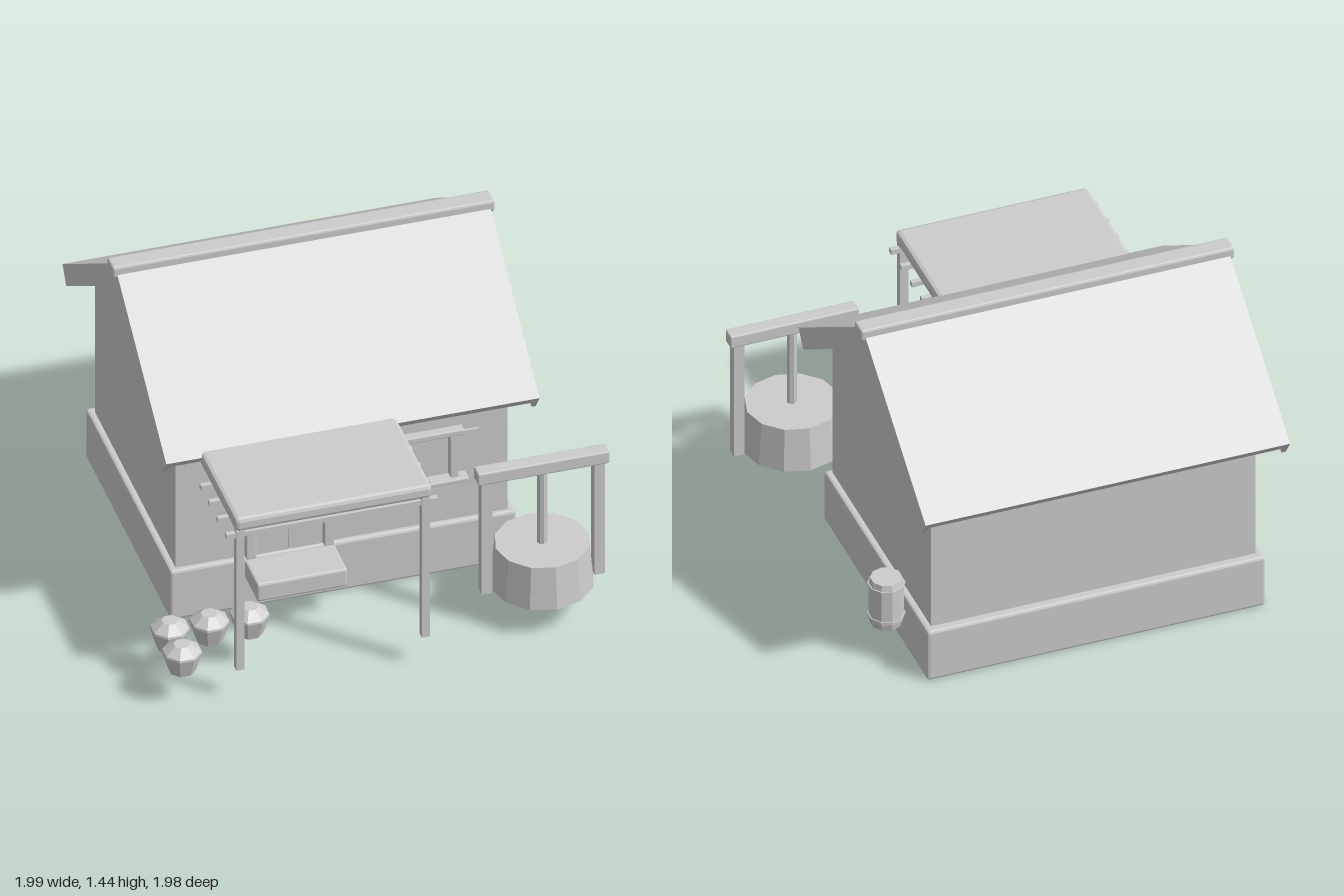
import * as THREE from 'three';
import { RoundedBoxGeometry } from 'three/addons/geometries/RoundedBoxGeometry.js';

const grey = new THREE.MeshStandardMaterial({ color: 0xcccccc });
grey.name = 'plain grey';

// Facet every face of a geometry
function faceted(geo) {
  const g = geo.index ? geo.toNonIndexed() : geo;
  g.computeVertexNormals();
  return g;
}

function add(parent, name, geo, x = 0, y = 0, z = 0) {
  const mesh = new THREE.Mesh(faceted(geo), grey);
  mesh.name = name;
  mesh.position.set(x, y, z);
  parent.add(mesh);
  return mesh;
}

// Box given by its limits on each axis, with an optional chamfer
function block(parent, name, [x0, x1], [y0, y1], [z0, z1], chamfer = 0) {
  const size = [x1 - x0, y1 - y0, z1 - z0];
  const geo = chamfer ? new RoundedBoxGeometry(...size, 1, chamfer) : new THREE.BoxGeometry(...size);
  return add(parent, name, geo, (x0 + x1) / 2, (y0 + y1) / 2, (z0 + z1) / 2);
}

function group(parent, name) {
  const g = new THREE.Group();
  g.name = name;
  parent.add(g);
  return g;
}

// Faceted turned shape from [radius, height] pairs
function turned(points, sides) {
  return new THREE.LatheGeometry(points.map(([r, y]) => new THREE.Vector2(r, y)), sides);
}

function buildHouse(root) {
  const house = group(root, 'house');
  block(house, 'foundation', [-0.8, 0.71], [0, 0.25], [-0.86, 0.365], 0.012);
  block(house, 'walls', [-0.77, 0.68], [0.25, 0.975], [-0.82, 0.34]);

  // Gable prism, slightly proud of the end walls
  const triangle = new THREE.Shape([
    new THREE.Vector2(-0.58, 0), new THREE.Vector2(0.58, 0), new THREE.Vector2(0, 0.35),
  ]);
  const gable = new THREE.ExtrudeGeometry(triangle, { depth: 1.51, bevelEnabled: false });
  gable.rotateY(Math.PI / 2);
  add(house, 'gable', gable, -0.8, 0.975, -0.24);

  // Two roof slopes with bargeboards at both ends
  for (const side of [1, -1]) {
    const slope = group(house, side > 0 ? 'frontRoof' : 'backRoof');
    slope.position.set(-0.045, 1.432, -0.245);
    slope.rotation.x = side * 0.606;
    const len = 0.91;
    add(slope, 'roofSlab', new THREE.BoxGeometry(1.63, 0.043, len), 0, -0.0215, side * len / 2);
    for (const end of [-1, 1]) {
      add(slope, 'bargeboard', new THREE.BoxGeometry(0.02, 0.094, len), end * 0.805, -0.047, side * len / 2);
    }
  }
  block(house, 'ridgeCap', [-0.88, 0.79], [1.385, 1.44], [-0.288, -0.202], 0.01);
}

function buildDoor(root) {
  const door = group(root, 'door');
  for (const x of [-0.47, -0.13]) block(door, 'doorJamb', [x, x + 0.043], [0.25, 0.85], [0.33, 0.375], 0.004);
  block(door, 'doorLintel', [-0.49, -0.065], [0.84, 0.885], [0.33, 0.385], 0.004);
  block(door, 'doorLeaf', [-0.427, -0.281], [0.25, 0.84], [0.335, 0.348]);
  block(door, 'doorLeaf', [-0.277, -0.13], [0.25, 0.84], [0.335, 0.348]);
  block(door, 'step', [-0.475, -0.08], [0.15, 0.24], [0.35, 0.545], 0.01);
}

function buildWindow(root) {
  const win = group(root, 'window');
  block(win, 'windowLintel', [0.2, 0.48], [0.7, 0.727], [0.33, 0.38], 0.004);
  block(win, 'windowSill', [0.185, 0.495], [0.47, 0.488], [0.33, 0.397], 0.004);
  for (const x of [0.21, 0.42]) block(win, 'windowJamb', [x, x + 0.036], [0.488, 0.7], [0.33, 0.375], 0.004);
  for (const x of [0.147, 0.455]) block(win, 'shutter', [x, x + 0.098], [0.5, 0.7], [0.335, 0.352]);
}

function buildCanopy(root) {
  const canopy = group(root, 'canopy');
  block(canopy, 'canopyRoof', [-0.705, 0.155], [0.862, 0.928], [0.36, 0.99], 0.018);
  for (const x of [-0.7, 0.11]) block(canopy, 'canopyPost', [x, x + 0.036], [0.15, 0.865], [0.95, 0.986]);
  for (const z of [0.6, 0.72, 0.843, 0.965]) {
    block(canopy, 'canopyRafter', [-0.74, 0.185], [0.827, 0.85], [z - 0.012, z + 0.012]);
  }
  // Small lanterns hanging below the canopy
  const spots = [[-0.61, 0.7], [-0.485, 0.56], [-0.365, 0.63], [-0.175, 0.46], [-0.02, 0.7], [0.085, 0.56]];
  const profile = [[0, -0.04], [0.014, -0.04], [0.023, -0.025], [0.023, 0.025], [0.014, 0.04], [0, 0.04]];
  for (const [x, z] of spots) add(canopy, 'lantern', turned(profile, 8), x, 0.8, z);
}

function buildWell(root) {
  const well = group(root, 'well');
  add(well, 'wellWall', new THREE.CylinderGeometry(0.202, 0.222, 0.203, 12), 0.71, 0.2515, 0.735);
  for (const x of [0.438, 0.93]) block(well, 'wellPost', [x, x + 0.047], [0.15, 0.725], [0.718, 0.765]);
  block(well, 'wellBeam', [0.42, 0.995], [0.718, 0.778], [0.709, 0.774], 0.006);
  add(well, 'wellPole', new THREE.CylinderGeometry(0.022, 0.022, 0.375, 8), 0.71, 0.54, 0.74);
}

function buildBarrel(root) {
  const barrel = group(root, 'barrel');
  barrel.position.set(0.795, 0.15, -0.595);
  const profile = [[0, 0], [0.068, 0], [0.075, 0.03], [0.075, 0.2], [0.068, 0.232], [0, 0.232]];
  add(barrel, 'barrelBody', turned(profile, 10));
  for (const y of [0.045, 0.2]) add(barrel, 'barrelHoop', new THREE.CylinderGeometry(0.08, 0.08, 0.01, 10), 0, y, 0);
}

function buildPots(root) {
  const pots = group(root, 'pots');
  const profile = [[0, 0], [0.058, 0], [0.085, 0.09], [0.083, 0.1], [0.036, 0.133], [0, 0.133]];
  for (const [x, z] of [[-0.915, 0.735], [-0.742, 0.735], [-0.567, 0.735], [-0.915, 0.91]]) {
    add(pots, 'pot', turned(profile, 8), x, 0.15, z).rotation.y = Math.PI / 8;
  }
}

export function createModel() {
  const root = new THREE.Group();
  root.name = 'cottage';
  buildHouse(root);
  buildDoor(root);
  buildWindow(root);
  buildCanopy(root);
  buildWell(root);
  buildBarrel(root);
  buildPots(root);
  return root;
}
